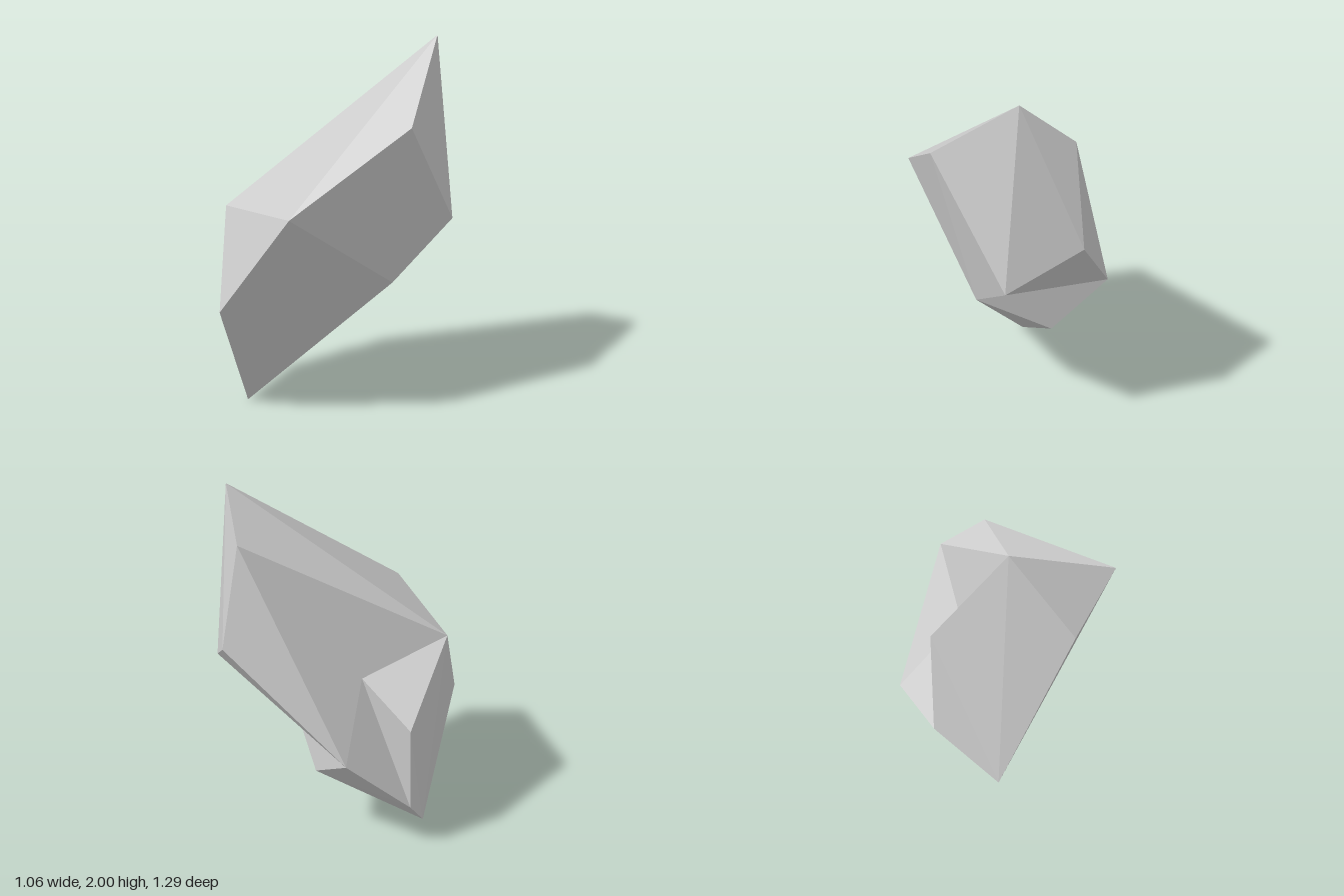
import * as THREE from 'three';

// Corners of the rock shard
const corners = {
  A: [0.415, 2.0, -0.38],     // tip
  B: [0.49, 1.62, 0.11],
  C: [0.527, 1.015, -0.385],
  D: [0.335, 0.73, -0.035],
  E: [-0.41, 0, 0.235],       // foot
  F: [-0.335, 0.675, 0.622],
  G: [0.087, 1.237, 0.645],
  H: [-0.462, 1.147, 0.325],
  I: [0.24, 1.24, -0.645],
  J: [0.2, 1.78, -0.55],
  K: [-0.35, 0.65, -0.4],
  L: [-0.035, 0.43, -0.255],
  M: [-0.53, 0.78, -0.09],
  N: [-0.522, 0.29, -0.06],
  O: [-0.23, 1.0, -0.11],     // inner corner of the notch
};

// Each fan is a hub corner followed by its rim, counter-clockwise from outside
const fans = [
  'GFEDBAHF',   // broad front
  'KJICDLNOJ',  // back
  'ABCIJH',     // facets below the tip
  'EFHMNLD',    // facets above the foot
  'ONMHJ',      // notch
  'BDC',        // side facet
];

function fanPositions(fan) {
  const [hub, ...rim] = fan;
  const positions = [];
  for (let i = 0; i < rim.length - 1; i++) {
    positions.push(...corners[hub], ...corners[rim[i]], ...corners[rim[i + 1]]);
  }
  return positions;
}

export function createModel() {
  const geometry = new THREE.BufferGeometry();
  geometry.setAttribute('position', new THREE.Float32BufferAttribute(fans.flatMap(fanPositions), 3));
  geometry.computeVertexNormals();

  const rock = new THREE.Mesh(
    geometry,
    new THREE.MeshStandardMaterial({ color: 0xcccccc, flatShading: true })
  );
  rock.name = 'rockShard';

  const group = new THREE.Group();
  group.name = 'rock';
  group.add(rock);
  return group;
}
